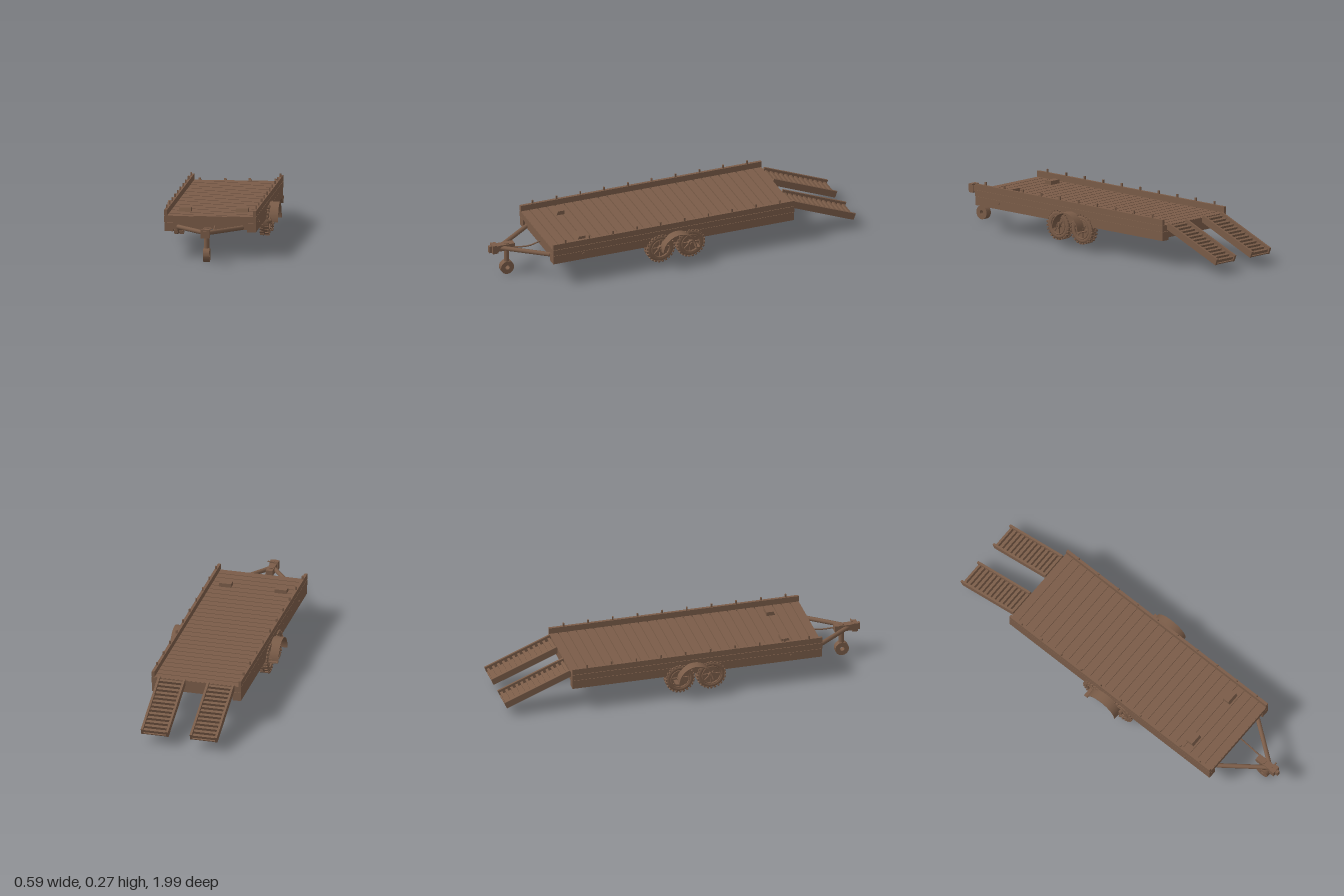
import * as THREE from 'three';

const brown = new THREE.MeshStandardMaterial({ color: 0x7a5c48 });
brown.name = 'trailer brown';

function add(parent, name, geo, x = 0, y = 0, z = 0) {
  const m = new THREE.Mesh(geo, brown);
  m.name = name;
  m.position.set(x, y, z);
  parent.add(m);
  return m;
}

// box given by its limits
function box(parent, name, x0, x1, y0, y1, z0, z1) {
  return add(parent, name, new THREE.BoxGeometry(x1 - x0, y1 - y0, z1 - z0),
    (x0 + x1) / 2, (y0 + y1) / 2, (z0 + z1) / 2);
}

// cylinder lying along x
function disc(parent, name, r, w, x, y, z, n = 24) {
  return add(parent, name, new THREE.CylinderGeometry(r, r, w, n).rotateZ(Math.PI / 2), x, y, z);
}

// square or round bar between two points
function bar(parent, name, a, b, r, sides) {
  const d = b.clone().sub(a);
  const m = add(parent, name, new THREE.CylinderGeometry(r, r, d.length(), sides));
  m.position.copy(a).add(b).multiplyScalar(0.5);
  m.quaternion.setFromUnitVectors(new THREE.Vector3(0, 1, 0), d.normalize());
  return m;
}

// extrude a side profile drawn in (z, y) along x, starting at x0
function sideExtrude(shape, width, x0, segs = 20) {
  const g = new THREE.ExtrudeGeometry(shape, { depth: width, bevelEnabled: false, curveSegments: segs });
  return g.rotateY(-Math.PI / 2).translate(x0 + width, 0, 0);
}

// tyre with two rows of lugs, spoked rim and hub
function makeWheel(s) {
  const w = new THREE.Group();
  w.name = 'wheel';
  const tyre = new THREE.LatheGeometry([
    [0.052, -0.020], [0.062, -0.022], [0.072, -0.020], [0.075, -0.013], [0.075, 0.013],
    [0.072, 0.020], [0.062, 0.022], [0.052, 0.020], [0.050, 0], [0.052, -0.020],
  ].map(p => new THREE.Vector2(...p)), 32).rotateZ(Math.PI / 2);
  add(w, 'tyre', tyre);
  for (let i = 0; i < 24; i++) {
    for (const row of [-1, 1]) {
      const a = (i + (row > 0 ? 0.5 : 0)) / 24 * Math.PI * 2;
      const lug = add(w, 'treadLug', new THREE.BoxGeometry(0.020, 0.008, 0.011),
        row * 0.0135, Math.cos(a) * 0.0755, Math.sin(a) * 0.0755);
      lug.rotation.x = a;
    }
  }
  disc(w, 'rimPlate', 0.052, 0.008, s * 0.004, 0, 0);
  add(w, 'rimRing', new THREE.TorusGeometry(0.05, 0.004, 6, 32).rotateY(Math.PI / 2), s * 0.02, 0, 0);
  disc(w, 'hub', 0.018, 0.03, s * 0.015, 0, 0, 16);
  disc(w, 'hubCap', 0.010, 0.01, s * 0.030, 0, 0, 12);
  for (let i = 0; i < 8; i++) {
    const a = i / 8 * Math.PI * 2;
    const spoke = add(w, 'spoke', new THREE.BoxGeometry(0.010, 0.036, 0.009),
      s * 0.011, Math.cos(a) * 0.033, Math.sin(a) * 0.033);
    spoke.rotation.x = a;
  }
  return w;
}

// loading ramp, hinged at the tail of the bed
function makeRamp(s) {
  const r = new THREE.Group();
  r.name = 'ramp';
  const L = 0.385;
  for (const x of [-0.068, 0.068]) box(r, 'rampRail', x - 0.006, x + 0.006, -0.036, 0, -L, 0);
  box(r, 'rampBase', -0.066, 0.066, -0.034, -0.028, -L, 0);
  for (let i = 0; i < 13; i++) {
    const z = -0.014 - i * 0.0297;
    box(r, 'rampRung', -0.066, 0.066, -0.03, -0.012, z - 0.007, z + 0.007);
  }
  r.position.set(s * 0.133, 0.228, -0.635);
  r.rotation.x = -0.385;
  return r;
}

export function createModel() {
  const g = new THREE.Group();
  g.name = 'flatbedTrailer';
  const front = 0.73, back = -0.63;

  // deck planks over a thin floor
  box(g, 'floor', -0.23, 0.23, 0.198, 0.209, back + 0.003, front - 0.003);
  const n = 28, pitch = (front - back) / n;
  for (let i = 0; i < n; i++) {
    const z = back + i * pitch;
    box(g, 'deckPlank', -0.228, 0.228, 0.208, 0.217, z + 0.003, z + pitch - 0.003);
  }

  // end beams and joists under the floor
  box(g, 'frontBeam', -0.243, 0.243, 0.184, 0.216, front - 0.014, front);
  box(g, 'rearBeam', -0.243, 0.243, 0.184, 0.216, back, back + 0.014);
  box(g, 'frontCrossMember', -0.2, 0.2, 0.146, 0.184, front - 0.03, front - 0.01);
  box(g, 'rearCrossMember', -0.2, 0.2, 0.146, 0.184, back + 0.01, back + 0.03);
  for (let i = 1; i < 9; i++) {
    const z = back + i * (front - back) / 9;
    box(g, 'joist', -0.2, 0.2, 0.15, 0.2, z - 0.009, z + 0.009);
  }

  for (const s of [-1, 1]) {
    const side = new THREE.Group();
    side.name = s > 0 ? 'leftSide' : 'rightSide';
    g.add(side);
    const sbox = (name, x0, x1, ...r) => box(side, name, Math.min(s * x0, s * x1), Math.max(s * x0, s * x1), ...r);

    // frame rail and side boards
    sbox('frameRail', 0.196, 0.242, 0.135, 0.182, back, front);
    sbox('lowerSideBoard', 0.226, 0.243, 0.184, 0.216, back, front);
    sbox('upperSideBoard', 0.228, 0.243, 0.218, 0.249, back, front);
    sbox('boardBacking', 0.228, 0.239, 0.178, 0.22, back + 0.002, front - 0.002);
    for (let i = 0; i < 10; i++) {
      const z = 0.66 - i * 0.1345;
      sbox('stakePin', 0.232, 0.240, 0.24, 0.267, z - 0.004, z + 0.004);
    }
    for (const z of [0.56, 0.17, -0.1]) disc(side, 'sideBolt', 0.006, 0.006, s * 0.244, 0.168, z, 12);

    // wheel stop wedge
    const wedge = new THREE.Shape();
    wedge.moveTo(0.525, 0.216);
    wedge.lineTo(0.572, 0.216);
    wedge.lineTo(0.562, 0.238);
    wedge.lineTo(0.525, 0.238);
    add(side, 'wheelStop', sideExtrude(wedge, 0.065, s > 0 ? 0.118 : -0.183));

    // tandem wheels on stub axles
    for (const z of [0.125, -0.045]) {
      const w = makeWheel(s);
      w.position.set(s * 0.227, 0.115, z);
      side.add(w);
    }

    // arched fender with a small rear flange
    const arch = new THREE.Shape();
    arch.absarc(0.033, 0.105, 0.095, 0, Math.PI, false);
    arch.absarc(0.033, 0.105, 0.090, Math.PI, 0, true);
    add(side, 'fender', sideExtrude(arch, 0.053, s > 0 ? 0.242 : -0.295));
    sbox('fenderFlange', 0.242, 0.295, 0.105, 0.110, -0.08, -0.058);

    // drawbar arm
    bar(g, 'drawbarArm', new THREE.Vector3(s * 0.17, 0.158, 0.72), new THREE.Vector3(0, 0.158, 0.945), 0.012, 10);
    g.add(makeRamp(s));
    sbox('rampHinge', 0.07, 0.196, 0.190, 0.205, back - 0.014, back);
  }

  // coupler and its handle
  box(g, 'couplerBody', -0.018, 0.018, 0.142, 0.176, 0.86, 0.96);
  box(g, 'couplerHead', -0.023, 0.023, 0.135, 0.182, 0.955, 0.985);
  box(g, 'couplerNose', -0.009, 0.009, 0.138, 0.176, 0.985, 1.0);
  box(g, 'couplerHandle', -0.002, 0.033, 0.179, 0.184, 0.955, 0.962);

  // jockey wheel
  add(g, 'jockeyPost', new THREE.CylinderGeometry(0.014, 0.014, 0.11, 16), 0, 0.125, 0.9);
  const ring = new THREE.Shape();
  ring.absarc(0.9, 0.037, 0.037, 0, Math.PI * 2);
  const hole = new THREE.Path();
  hole.absarc(0.9, 0.037, 0.012, 0, Math.PI * 2, true);
  ring.holes.push(hole);
  add(g, 'jockeyWheel', sideExtrude(ring, 0.033, -0.0165, 16));

  // brake cable
  const cable = new THREE.CatmullRomCurve3([
    [0.024, 0.165, 0.72], [0.024, 0.15, 0.78], [0.018, 0.152, 0.85], [0.008, 0.16, 0.9],
  ].map(p => new THREE.Vector3(...p)));
  add(g, 'brakeCable', new THREE.TubeGeometry(cable, 16, 0.004, 6));

  return g;
}
